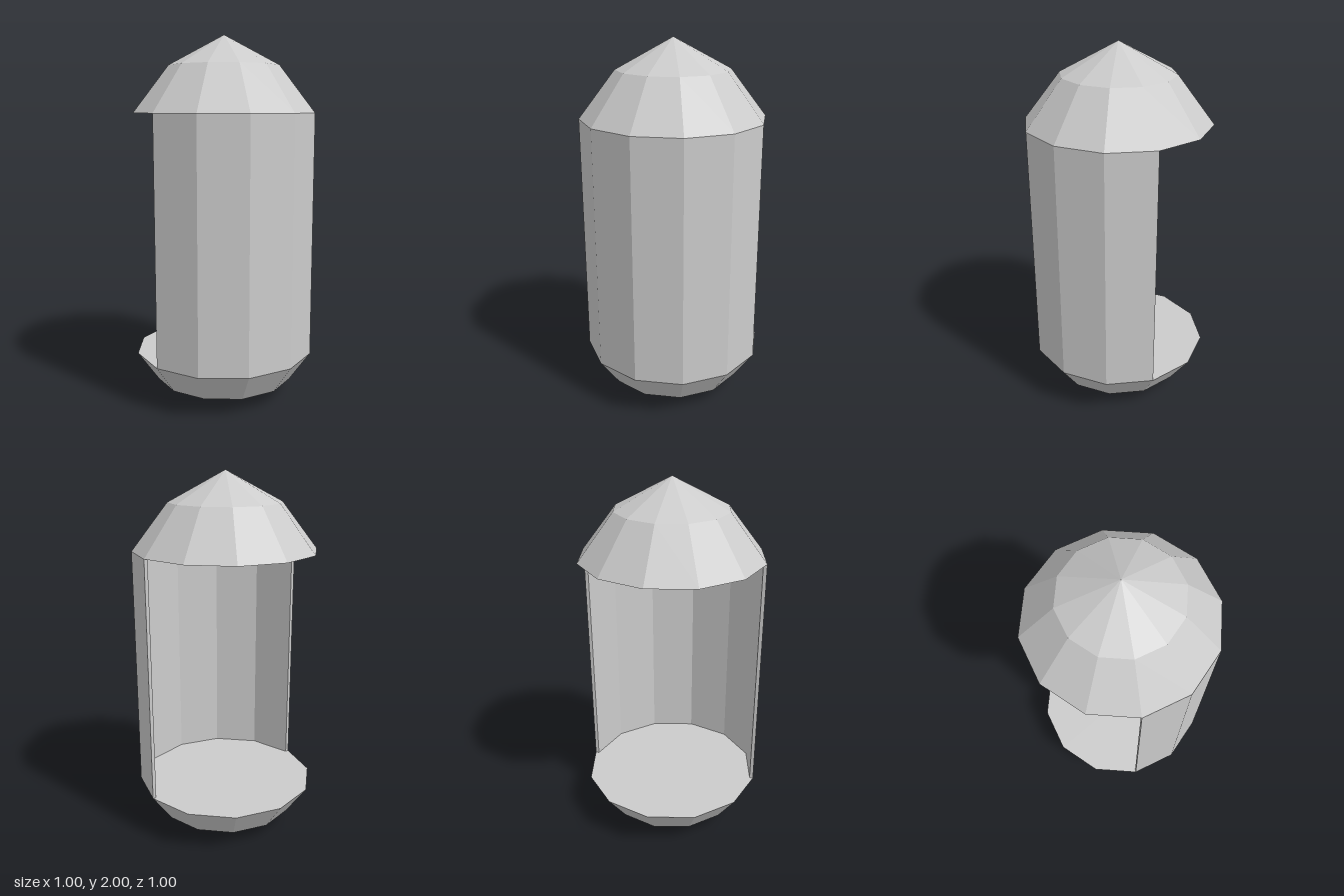
import * as THREE from 'three';

const SIDES = 12;
const material = new THREE.MeshStandardMaterial({ color: 0xcccccc, flatShading: true, side: THREE.DoubleSide });

function addMesh(parent, name, geometry) {
  const mesh = new THREE.Mesh(geometry, material);
  mesh.name = name;
  parent.add(mesh);
  return mesh;
}

function lathe(points) {
  return new THREE.LatheGeometry(points.map(([r, y]) => new THREE.Vector2(r, y)), SIDES);
}

// Half-ring wall, open towards -x
function wallGeometry(outer, inner, height) {
  const shape = new THREE.Shape();
  const arc = (r, i) => {
    const a = (i / SIDES) * Math.PI * 2;
    return new THREE.Vector2(r * Math.cos(a), r * Math.sin(a));
  };
  const points = [];
  for (let i = -3; i <= 3; i++) points.push(arc(outer, i));
  for (let i = 3; i >= -3; i--) points.push(arc(inner, i));
  shape.setFromPoints(points);
  return new THREE.ExtrudeGeometry(shape, { depth: height, bevelEnabled: false }).rotateX(-Math.PI / 2);
}

// Underside of the base: a 12-sided ring filled by a 3 x 3 grid of quads
function undersideGeometry(ringRadius, ringY, squareRadius) {
  const positions = [];
  const point = (r, y, step) => {
    const a = (step / SIDES) * Math.PI * 2;
    return [r * Math.cos(a), y, r * Math.sin(a)];
  };
  const ring = (step) => point(ringRadius, ringY, step);
  const inner = (step) => point(squareRadius, 0, step);
  const quad = (a, b, c, d) => positions.push(...a, ...b, ...c, ...a, ...c, ...d);

  quad(inner(1), inner(4), inner(7), inner(10));
  for (let s = 1; s < SIDES; s += 3) {
    quad(inner(s), ring(s - 1), ring(s), ring(s + 1));
    quad(inner(s), ring(s + 1), ring(s + 2), inner(s + 3));
  }
  const geometry = new THREE.BufferGeometry();
  geometry.setAttribute('position', new THREE.Float32BufferAttribute(positions, 3));
  geometry.computeVertexNormals();
  return geometry;
}

export function createModel() {
  const model = new THREE.Group();
  model.name = 'capsuleShelter';

  // Base bowl with flat floor
  const base = new THREE.Group();
  base.name = 'base';
  model.add(base);
  addMesh(base, 'baseSide', lathe([[0.385, 0.087], [0.5, 0.25]]));
  addMesh(base, 'floor', lathe([[0.5, 0.25], [0, 0.25]]));
  addMesh(base, 'baseUnderside', undersideGeometry(0.385, 0.087, 0.185));

  // Curved wall standing on the floor
  addMesh(model, 'wall', wallGeometry(0.5, 0.48, 1.335)).position.y = 0.25;

  // Hollow domed roof
  addMesh(model, 'roof', lathe([[0.5, 1.585], [0.305, 1.837], [0, 2]]));

  return model;
}
